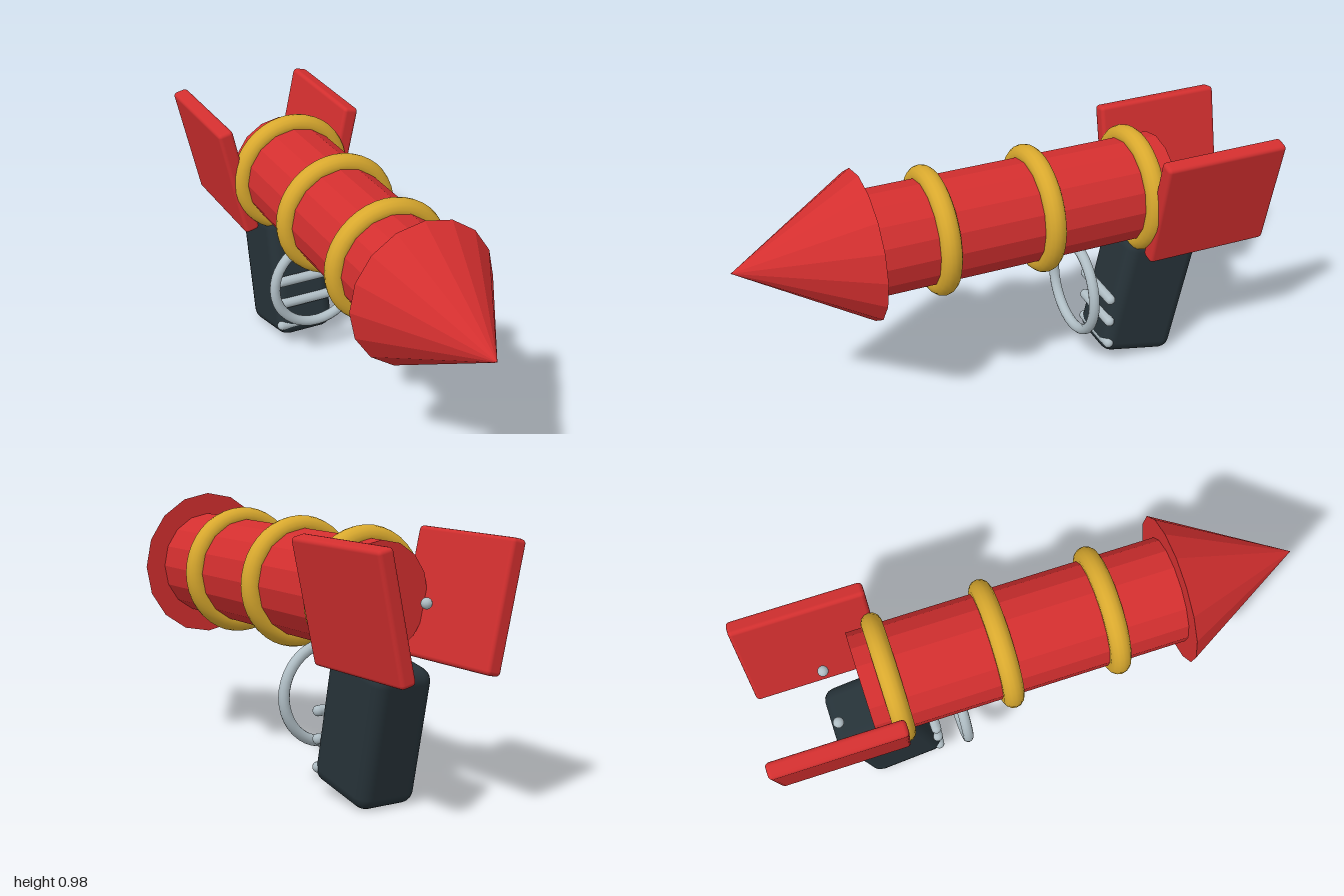
import * as THREE from 'three';
import { RoundedBoxGeometry } from 'three/addons/geometries/RoundedBoxGeometry.js';

const AXIS_Y = 0.71; // height of the barrel axis

const paint = (name, color) => {
  const m = new THREE.MeshStandardMaterial({ color });
  m.name = name;
  return m;
};

// Faceted look from split normals
const faceted = (geometry) => {
  const g = geometry.toNonIndexed();
  g.computeVertexNormals();
  return g;
};

export function createModel() {
  const group = new THREE.Group();
  const red = paint('red', 0xd32f2f);
  const gold = paint('gold', 0xd9a92e);
  const dark = paint('darkSlate', 0x263238);
  const silver = paint('silver', 0xb0bec5);

  const add = (name, geometry, material, x, y, z) => {
    const mesh = new THREE.Mesh(geometry, material);
    mesh.name = name;
    mesh.position.set(x, y, z);
    group.add(mesh);
    return mesh;
  };

  // Barrel and pointed nose, both 16-sided
  const barrel = new THREE.CylinderGeometry(0.195, 0.195, 1.15, 16).rotateX(Math.PI / 2);
  add('barrel', faceted(barrel), red, 0, AXIS_Y, -0.045);
  const nose = new THREE.ConeGeometry(0.275, 0.47, 16).rotateX(Math.PI / 2);
  add('noseCone', faceted(nose), red, 0, AXIS_Y, 0.765);

  // Bands around the barrel
  const band = new THREE.TorusGeometry(0.2, 0.038, 14, 40);
  for (const z of [0.273, -0.124, -0.523]) add('barrelBand', band, gold, 0, AXIS_Y, z);

  // Leaning tail fins, with a small stud inside each
  const fin = new RoundedBoxGeometry(0.06, 0.447, 0.485, 2, 0.015);
  const stud = new THREE.SphereGeometry(0.02, 12, 8);
  for (const side of [1, -1]) {
    const name = side > 0 ? 'left' : 'right';
    add(name + 'Fin', fin, red, side * 0.217, AXIS_Y, -0.757).rotation.z = -side * 0.22;
    add(name + 'Stud', stud, silver, side * 0.1, 0.7, -0.735);
  }

  // Grip, slanting back towards the top
  const grip = new RoundedBoxGeometry(0.236, 0.495, 0.305, 2, 0.047);
  add('grip', grip, dark, 0, 0.269, -0.577).rotation.x = -0.21;

  // Finger bars on the front of the grip
  const bar = new THREE.CapsuleGeometry(0.02, 0.208, 4, 10).rotateZ(Math.PI / 2);
  for (const y of [0.1, 0.2, 0.3]) add('fingerBar', bar, silver, 0, y, -0.405);

  // Trigger ring under the barrel
  add('triggerRing', new THREE.TorusGeometry(0.177, 0.02, 12, 40), silver, 0, 0.335, -0.3);

  return group;
}
